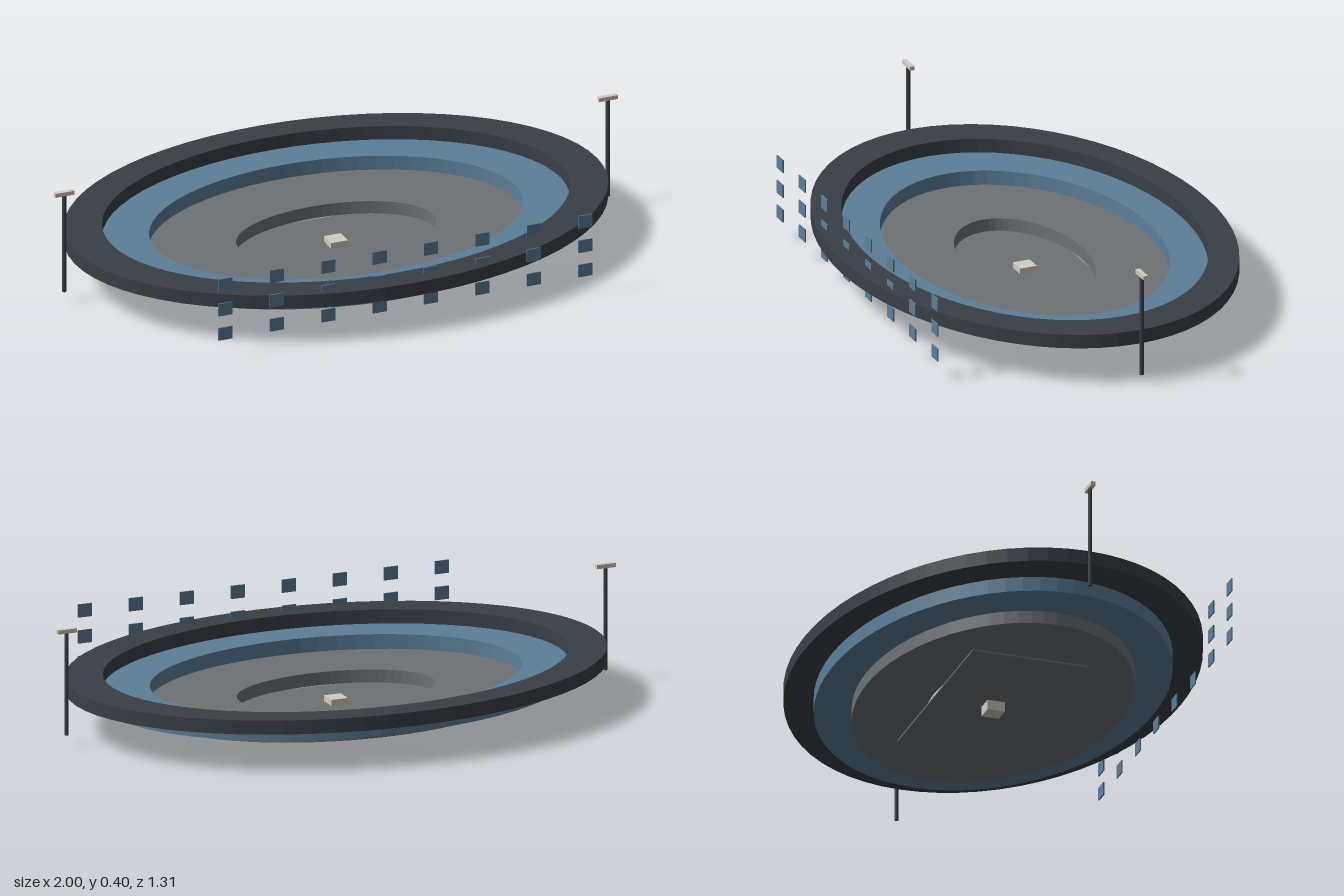
import * as THREE from 'three';

const material = (name, color) => {
  const m = new THREE.MeshStandardMaterial({ color });
  m.name = name;
  return m;
};

export function createModel() {
  const model = new THREE.Group();
  model.name = 'stadium';
  const dark = material('darkSlate', 0x3a3f47);
  const blue = material('seatBlue', 0x5c7f99);
  const grey = material('concreteGrey', 0x6f7275);
  const cream = material('paleCream', 0xd2cdc0);

  const add = (name, geometry, mat, x, y, z, parent = model) => {
    const mesh = new THREE.Mesh(geometry, mat);
    mesh.name = name;
    mesh.position.set(x, y, z);
    parent.add(mesh);
    return mesh;
  };

  // Stepped oval tiers, each a flat ring with an oval opening
  const tier = (name, mat, rx, rz, holeX, holeZ, bottom, top) => {
    const shape = new THREE.Shape();
    shape.absellipse(0, 0, rx, rz, 0, Math.PI * 2);
    const hole = new THREE.Path();
    hole.absellipse(0, 0, holeX, holeZ, 0, Math.PI * 2);
    shape.holes.push(hole);
    const geometry = new THREE.ExtrudeGeometry(shape, {
      depth: top - bottom, bevelEnabled: false, curveSegments: 32,
    });
    geometry.rotateX(-Math.PI / 2);
    add(name, geometry, mat, 0, bottom, 0);
  };
  tier('upperTier', dark, 0.93, 0.655, 0.8, 0.56, 0.135, 0.183);
  tier('middleTier', blue, 0.8, 0.56, 0.64, 0.44, 0.085, 0.135);
  tier('lowerTier', grey, 0.64, 0.44, 0.345, 0.206, 0.041, 0.085);

  // Playing field and the block at its centre
  add('field', new THREE.BoxGeometry(0.75, 0.006, 0.404), grey, 0, 0.037, 0);
  add('centreBlock', new THREE.BoxGeometry(0.06, 0.06, 0.06), cream, 0, 0.03, 0);

  // Floodlight masts at both ends
  for (const side of [1, -1]) {
    const mast = new THREE.Group();
    mast.name = side > 0 ? 'leftFloodlight' : 'rightFloodlight';
    mast.position.x = side * 0.966;
    model.add(mast);
    add('pole', new THREE.CylinderGeometry(0.007, 0.007, 0.355, 12), dark, 0, 0.2175, 0, mast);
    add('lampBar', new THREE.BoxGeometry(0.068, 0.014, 0.016), cream, 0, 0.397, 0, mast);
  }

  // Three rows of facade panels in front
  const panels = new THREE.Group();
  panels.name = 'facadePanels';
  model.add(panels);
  const panelGeometry = new THREE.BoxGeometry(0.05, 0.045, 0.004);
  for (const y of [0.093, 0.181, 0.27]) {
    for (let i = 0; i < 8; i++) {
      add('panel', panelGeometry, blue, -0.64 + (i * 1.28) / 7, y, 0.6, panels);
    }
  }
  return model;
}
